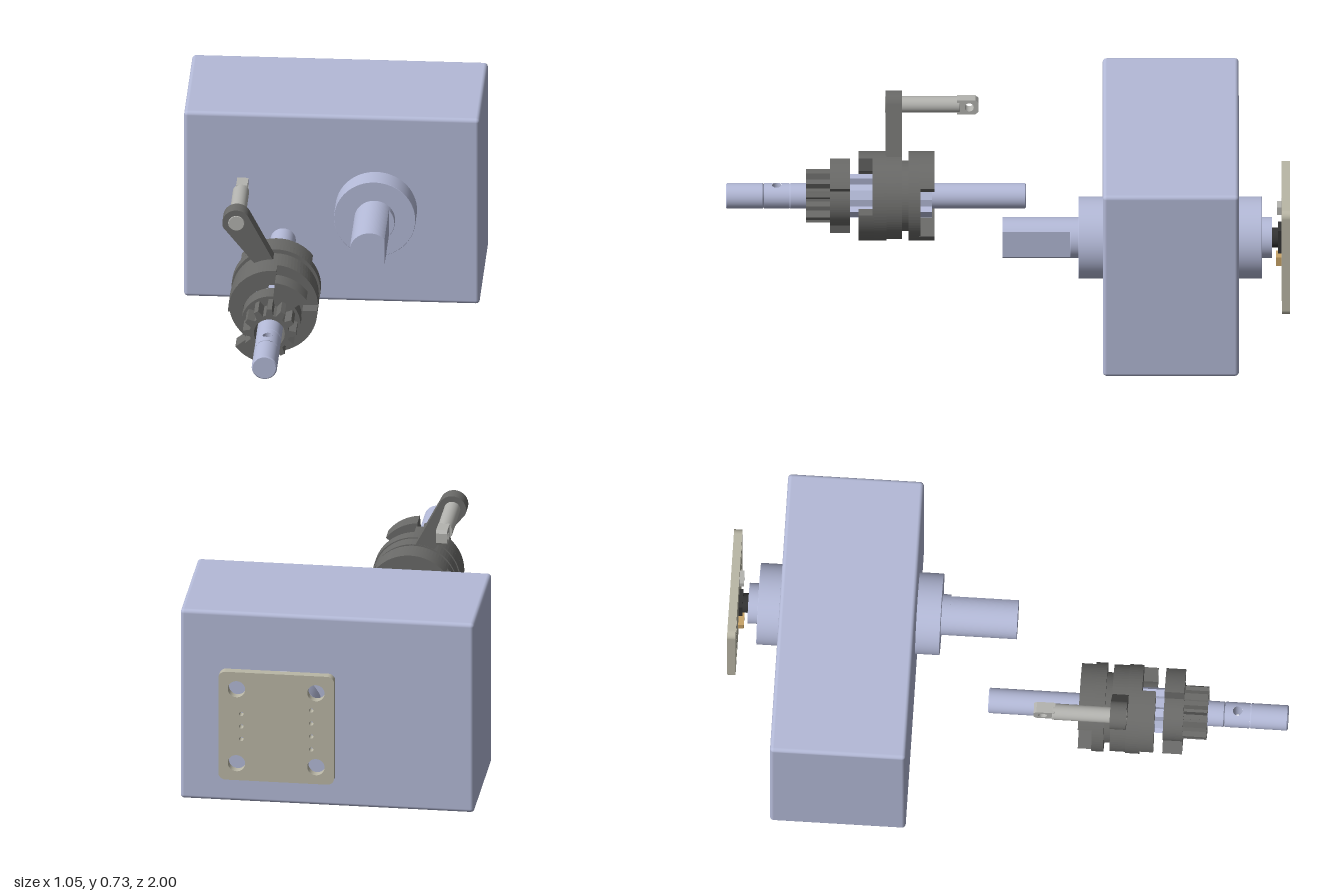
import * as THREE from 'three';
import { RoundedBoxGeometry } from 'three/addons/geometries/RoundedBoxGeometry.js';
import { ParametricGeometry } from 'three/addons/geometries/ParametricGeometry.js';

const mat = (color, side = THREE.FrontSide) => new THREE.MeshStandardMaterial({ color, side });
const BLUE = mat(0xb4bad8), BLUE2 = mat(0xb4bad8, THREE.DoubleSide), DARK = mat(0x6a6a68);
const STEEL = mat(0xb4b4b0), BOARD = mat(0xbab7a6), BLACK = mat(0x333333), TAN = mat(0xc8a468);
const deg = Math.PI / 180;
const AXLE = [-0.155, 0.365], OUT = [0.158, 0.365];

function add(parent, name, geometry, material, x = 0, y = 0, z = 0) {
  const m = new THREE.Mesh(geometry, material);
  m.name = name;
  m.position.set(x, y, z);
  parent.add(m);
  return m;
}

// Cylinder along z between two depths, with a small chamfer
function rod(r, z0, z1, c = 0.004) {
  const pts = [[0, z0], [r - c, z0], [r, z0 + c], [r, z1 - c], [r - c, z1], [0, z1]];
  const g = new THREE.LatheGeometry(pts.map(p => new THREE.Vector2(...p)), 64).toNonIndexed();
  g.computeVertexNormals();
  // smooth around the axis, sharp along the profile
  const p = g.attributes.position, n = g.attributes.normal;
  for (let i = 0; i < p.count; i++) {
    const side = Math.hypot(n.getX(i), n.getZ(i)), a = Math.hypot(p.getX(i), p.getZ(i));
    if (a > 1e-6 && side > 0.1) n.setXYZ(i, p.getX(i) / a * side, n.getY(i), p.getZ(i) / a * side);
  }
  return g.rotateX(Math.PI / 2);
}

function slab(shape, z0, z1) {
  return new THREE.ExtrudeGeometry(shape, { depth: z1 - z0, bevelEnabled: false, curveSegments: 40 }).translate(0, 0, z0);
}

function hole(shape, x, y, r) {
  shape.holes.push(new THREE.Path().absarc(x, y, r, 0, Math.PI * 2, true));
}

function ring(ro, ri) {
  const s = new THREE.Shape().absarc(0, 0, ro, 0, Math.PI * 2);
  hole(s, 0, 0, ri);
  return s;
}

function sector(ro, ri, a0, a1) {
  return new THREE.Shape().absarc(0, 0, ro, a0 * deg, a1 * deg, false).absarc(0, 0, ri, a1 * deg, a0 * deg, true);
}

// Toothed outline with a round bore
function toothed(n, root, tip, bore, widthRoot, widthTip) {
  const pts = [];
  for (let i = 0; i < n; i++) {
    for (const [r, f] of [[root, -widthRoot], [tip, -widthTip], [tip, widthTip], [root, widthRoot]]) {
      const a = (i + f) / n * Math.PI * 2 + Math.PI / 2;
      pts.push(new THREE.Vector2(r * Math.cos(a), r * Math.sin(a)));
    }
  }
  const s = new THREE.Shape(pts);
  hole(s, 0, 0, bore);
  return s;
}

// Two opposite dogs on a collar
function dogs(parent, name, a0, a1, ri, z0, z1) {
  for (const turn of [0, 180]) add(parent, name, slab(sector(0.158, ri, a0 + turn, a1 + turn), z0, z1), DARK);
}

// Short length of shaft with a cross hole running along y
function drilledShaft(parent, r, h, rHole, z) {
  for (const s of [1, -1]) {
    const g = new ParametricGeometry((u, v, p) => {
      const c = Math.cos(u * 2 * Math.PI), d = Math.sin(u * 2 * Math.PI);
      const k = 1 / Math.max(Math.abs(c), Math.abs(d));
      const x = c * (rHole * (1 - v) + r * k * v);
      p.set(x, s * Math.sqrt(Math.max(0, r * r - x * x)), d * (rHole * (1 - v) + h * k * v));
    }, 64, 10);
    const q = g.attributes.position, n = g.attributes.normal, f = s;
    for (let i = 0; i < q.count; i++) n.setXYZ(i, q.getX(i) / r, q.getY(i) / r, 0);
    // keep corner order matching the outward normal
    const id = g.index.array, v = [0, 1, 2].map(j => new THREE.Vector3().fromBufferAttribute(q, id[300 + j]));
    const face = v[1].sub(v[0]).cross(v[2].sub(v[0]));
    if (face.y * f < 0) for (let i = 0; i < id.length; i += 3) [id[i], id[i + 1]] = [id[i + 1], id[i]];
    add(parent, 'drilledShaft', g, BLUE, 0, 0, z);
  }
  add(parent, 'crossHoleWall', new THREE.CylinderGeometry(rHole, rHole, r * 1.88, 32, 1, true), BLUE2, 0, 0, z);
}

function buildGearbox(root) {
  const g = new THREE.Group();
  g.name = 'gearbox';
  root.add(g);
  add(g, 'housing', new RoundedBoxGeometry(1.05, 0.725, 0.482, 4, 0.014), BLUE, 0, 0.3625, -0.577);
  add(g, 'frontBoss', rod(0.145, -0.34, -0.25, 0.001), BLUE, ...OUT);
  add(g, 'rearBoss', rod(0.145, -0.9, -0.81, 0.001), BLUE, ...OUT);
  add(g, 'rearCollar', rod(0.072, -0.936, -0.89, 0.001), BLUE, ...OUT);
  add(g, 'outputShaftRoot', rod(0.0725, -0.26, -0.22, 0.001), BLUE, ...OUT);
  // Output shaft with a flat on its left side
  const a = Math.acos(0.052 / 0.0725);
  const flat = new THREE.Shape().absarc(0, 0, 0.0725, a, Math.PI * 2 - a);
  add(g, 'outputShaft', slab(flat, -0.23, 0.02), BLUE, ...OUT);
}

function buildSensor(root) {
  const g = new THREE.Group();
  g.name = 'sensorBoard';
  g.position.set(...OUT, 0);
  root.add(g);
  const h = 0.207, c = 0.025, s = new THREE.Shape();
  [[1, 1, 0], [-1, 1, 90], [-1, -1, 180], [1, -1, 270]].forEach(([x, y, t]) =>
    s.absarc(x * (h - c), y * (h - c), c, t * deg, (t + 90) * deg));
  for (const x of [-0.142, 0.142]) for (const y of [-0.142, 0.142]) hole(s, x, y, 0.031);
  for (const y of [-0.048, 0, 0.048]) hole(s, 0.125, y, 0.008);
  for (const y of [-0.075, -0.025, 0.025, 0.075]) hole(s, -0.125, y, 0.008);
  add(g, 'board', slab(s, -1, -0.97), BOARD);
  add(g, 'magnet', rod(0.035, -0.958, -0.93, 0.002), BLACK);
  add(g, 'sensorChip', new THREE.BoxGeometry(0.07, 0.09, 0.016), BLACK, 0, 0, -0.964);
  add(g, 'upperComponent', new THREE.BoxGeometry(0.05, 0.03, 0.018), STEEL, 0.04, 0.14, -0.963);
  add(g, 'lowerComponent', new THREE.BoxGeometry(0.05, 0.035, 0.022), TAN, -0.03, -0.1, -0.961);
}

function buildClutch(root) {
  const g = new THREE.Group();
  g.name = 'clutchShaft';
  g.position.set(...AXLE, 0);
  root.add(g);
  // Axle in three lengths, the middle one drilled
  add(g, 'axle', rod(0.045, -0.064, 0.775), BLUE);
  drilledShaft(g, 0.045, 0.045, 0.017, 0.82);
  add(g, 'axleTip', rod(0.045, 0.865, 1), BLUE);
  add(g, 'splinedSleeve', slab(toothed(6, 0.055, 0.08, 0.044, 0.25, 0.2), 0.27, 0.565), BLUE);

  // Front pinion with dogs
  add(g, 'pinion', slab(toothed(12, 0.07, 0.095, 0.055, 0.36, 0.17), 0.62, 0.715), DARK);
  add(g, 'pinionFlange', slab(ring(0.105, 0.055), 0.56, 0.63), DARK);
  dogs(g, 'pinionDog', 37, 85, 0.1, 0.56, 0.63);

  // Middle dog collar
  add(g, 'middleCollar', slab(ring(0.158, 0.07), 0.43, 0.48), DARK);
  dogs(g, 'middleDog', 85, 182, 0.105, 0.475, 0.53);

  // Lever ring, spacer and rear dog collar
  add(g, 'leverRing', slab(ring(0.154, 0.07), 0.375, 0.435), DARK);
  add(g, 'spacer', slab(ring(0.125, 0.07), 0.345, 0.38), DARK);
  add(g, 'rearCollar', slab(ring(0.158, 0.07), 0.31, 0.352), DARK);
  dogs(g, 'rearDog', 37, 143, 0.085, 0.26, 0.315);
}

function buildLever(root) {
  const g = new THREE.Group();
  g.name = 'shiftLever';
  root.add(g);
  const s = new THREE.Shape();
  s.moveTo(-0.262, 0.47);
  s.absarc(-0.29, 0.66, 0.05, 202 * deg, 28 * deg, true);
  s.lineTo(-0.155, 0.51);
  s.lineTo(-0.19, 0.46);
  hole(s, -0.232, 0.532, 0.028);
  add(g, 'leverArm', slab(s, 0.376, 0.434), DARK);
  // Pin ending in a flattened, drilled tang
  add(g, 'leverPin', rod(0.029, 0.17, 0.436, 0.002), STEEL, -0.29, 0.66);
  const t = new THREE.Shape([[-0.18, -0.028], [-0.115, -0.028], [-0.105, -0.018], [-0.105, 0.018], [-0.115, 0.028], [-0.18, 0.028]]
    .map(p => new THREE.Vector2(...p)));
  hole(t, -0.137, 0, 0.016);
  add(g, 'pinTang', slab(t, -0.02, 0.02).rotateY(Math.PI / 2), STEEL, -0.287, 0.66, 0);
}

export function createModel() {
  const root = new THREE.Group();
  root.name = 'gearboxWithClutch';
  buildGearbox(root);
  buildSensor(root);
  buildClutch(root);
  buildLever(root);
  return root;
}
